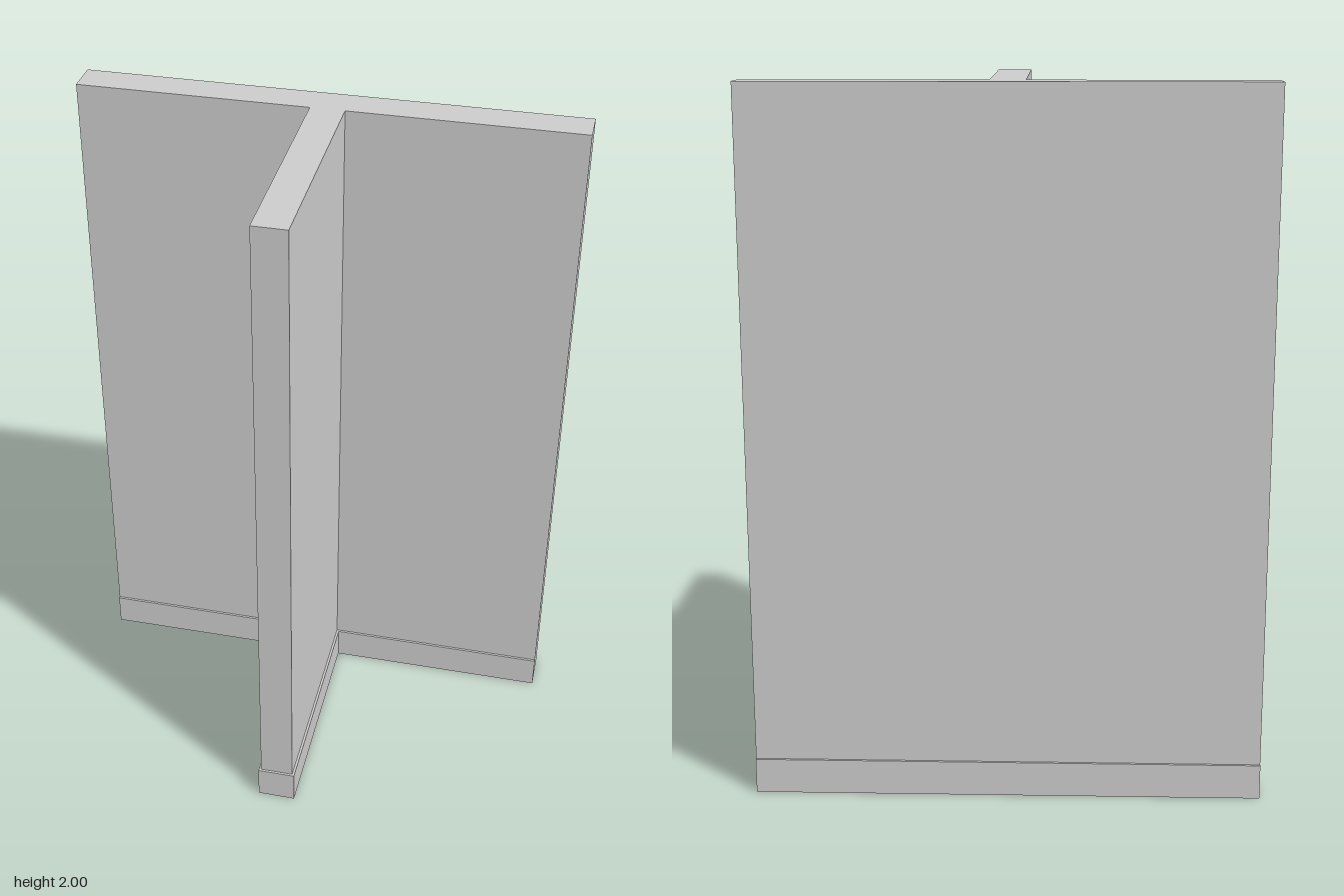
import * as THREE from 'three';

const HALF_WIDTH = 0.717;

// Extrudes a T-shaped plan upward from y0 to y1.
function tSection(name, y0, y1, halfStem, back, inner, front) {
  const plan = [
    [-HALF_WIDTH, back], [-HALF_WIDTH, inner], [-halfStem, inner], [-halfStem, front],
    [halfStem, front], [halfStem, inner], [HALF_WIDTH, inner], [HALF_WIDTH, back],
  ];
  // Plan z becomes -y in the shape so that the extrusion can be stood upright.
  const shape = new THREE.Shape(plan.map(([x, z]) => new THREE.Vector2(x, -z)));
  const geometry = new THREE.ExtrudeGeometry(shape, { depth: y1 - y0, bevelEnabled: false });
  geometry.rotateX(-Math.PI / 2);
  geometry.translate(0, y0, 0);
  const material = new THREE.MeshStandardMaterial({ color: 0xcccccc, flatShading: true });
  const mesh = new THREE.Mesh(geometry, material);
  mesh.name = name;
  return mesh;
}

export function createModel() {
  const model = new THREE.Group();
  model.name = 'tWall';

  // Wall with a perpendicular partition
  model.add(tSection('wall', 0.1, 2, 0.049, -0.386, -0.285, 0.386));

  // Slightly thicker skirting, flush with the wall ends
  model.add(tSection('baseboard', 0, 0.1, 0.056, -0.393, -0.278, 0.393));

  return model;
}
